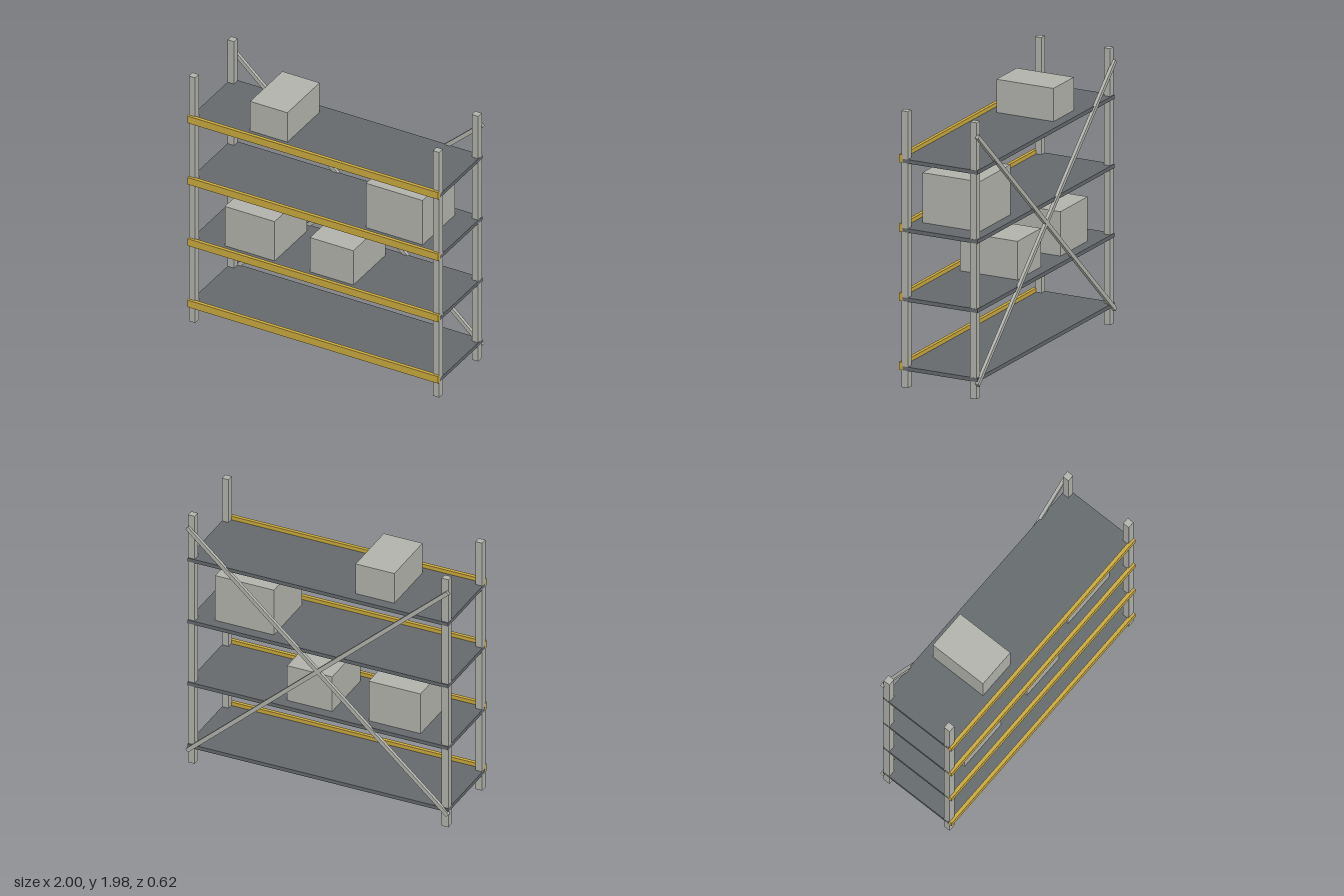
import * as THREE from 'three';

export function createModel() {
  const model = new THREE.Group();
  const mat = (name, color) => {
    const m = new THREE.MeshStandardMaterial({ color });
    m.name = name;
    return m;
  };
  const grey = mat('light grey', 0xb2b2ac);
  const yellow = mat('beam yellow', 0xc9a93d);
  const steel = mat('dark steel', 0x64696c);

  // Box given by its lower and upper limits on each axis
  const block = (name, material, [x0, x1], [y0, y1], [z0, z1]) => {
    const mesh = new THREE.Mesh(new THREE.BoxGeometry(x1 - x0, y1 - y0, z1 - z0), material);
    mesh.position.set((x0 + x1) / 2, (y0 + y1) / 2, (z0 + z1) / 2);
    mesh.name = name;
    model.add(mesh);
    return mesh;
  };

  // Four corner posts
  const post = 0.05;
  for (const sx of [-1, 1]) {
    for (const sz of [-1, 1]) {
      const x = sx * 0.962, z = sz * 0.267;
      block(`${sz > 0 ? 'front' : 'back'}${sx > 0 ? 'Left' : 'Right'}Post`, grey,
        [x - post / 2, x + post / 2], [0, 1.98], [z - post / 2, z + post / 2]);
    }
  }

  // Shelves, each with a yellow beam along its front edge
  const shelfTop = (level) => 0.151 + level * 0.4955;
  for (let level = 0; level < 4; level++) {
    const y = shelfTop(level);
    block('shelf', steel, [-0.988, 0.988], [y - 0.028, y], [-0.298, 0.285]);
    block('frontBeam', yellow, [-0.988, 0.988], [y - 0.028, y + 0.028], [0.284, 0.31]);
  }

  // Crossed braces at the back
  const halfX = 0.989, halfY = 0.89;
  for (const s of [-1, 1]) {
    const brace = new THREE.Mesh(
      new THREE.BoxGeometry(2 * Math.hypot(halfX, halfY), 0.03, 0.024), grey);
    brace.position.set(0, 0.992, -0.299);
    brace.rotation.z = s * Math.atan2(halfY, halfX);
    brace.name = s > 0 ? 'risingBrace' : 'fallingBrace';
    model.add(brace);
  }

  // Stored boxes: shelf level, x limits, top height
  const boxes = [
    [1, [-0.743, -0.35], 0.964],
    [1, [-0.072, 0.27], 0.923],
    [2, [0.37, 0.816], 1.5],
    [3, [-0.544, -0.25], 1.875],
  ];
  for (const [level, x, top] of boxes) {
    block('storageBox', grey, x, [shelfTop(level), top], [-0.222, 0.222]);
  }

  return model;
}
